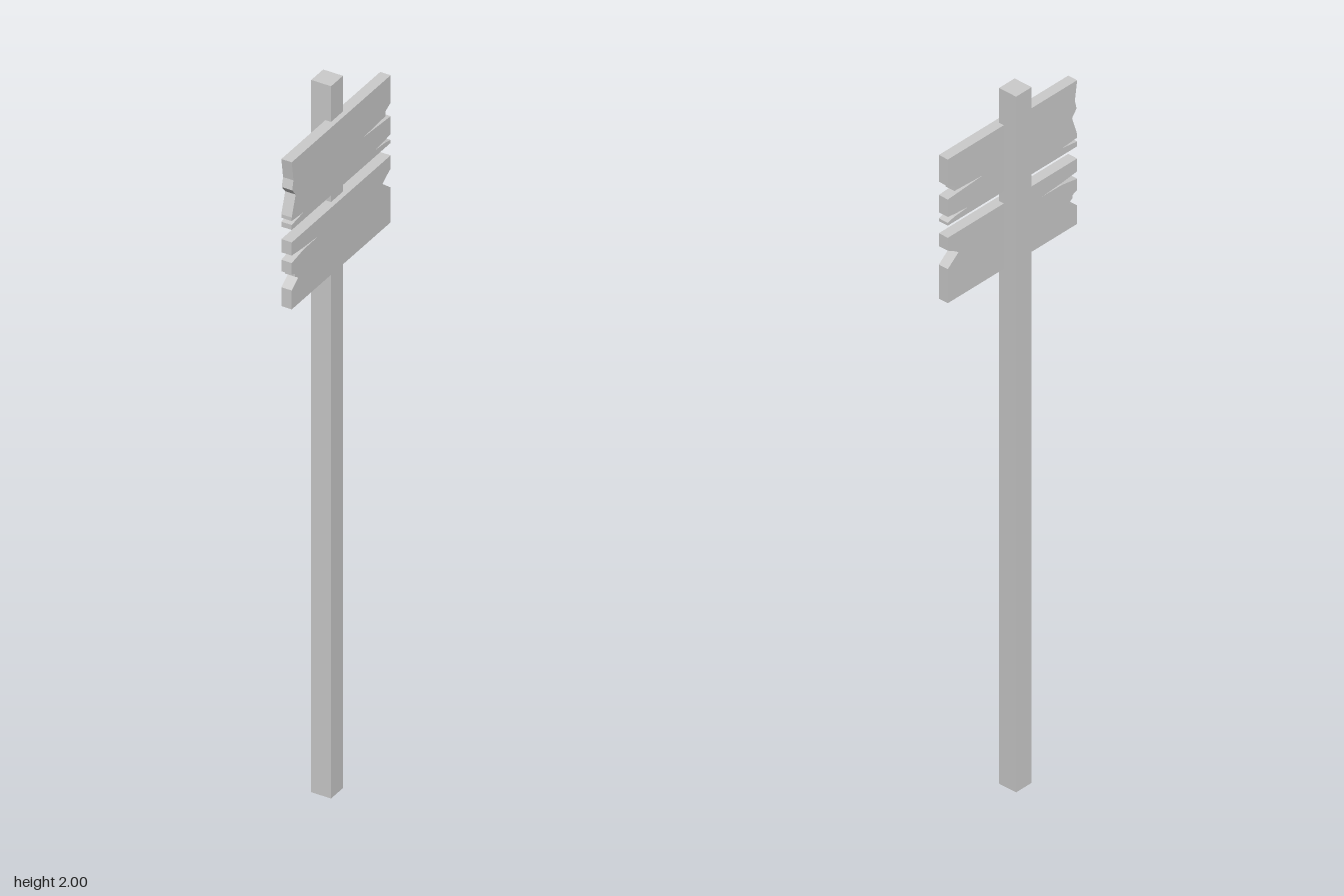
import * as THREE from 'three';

const material = new THREE.MeshStandardMaterial({ color: 0xcccccc, flatShading: true });

// Board cut from a side outline of [-z, y] points, extruded along x
function makeBoard(name, outline) {
  const shape = new THREE.Shape(outline.map(([s, y]) => new THREE.Vector2(s, y)));
  const geometry = new THREE.ExtrudeGeometry(shape, { depth: 0.029, bevelEnabled: false });
  geometry.rotateY(Math.PI / 2);
  geometry.translate(0.005, 0, 0);
  const mesh = new THREE.Mesh(geometry, material);
  mesh.name = name;
  return mesh;
}

export function createModel() {
  const group = new THREE.Group();
  group.name = 'signpost';

  // Square post
  const post = new THREE.Mesh(new THREE.BoxGeometry(0.055, 2, 0.055), material);
  post.name = 'post';
  post.position.set(-0.007, 1, -0.003);
  group.add(post);

  // Upper board: chipped front end, cracks at both ends
  group.add(makeBoard('upperBoard', [
    [-0.228, 1.71], [0.228, 1.71], [0.228, 1.718], [0.205, 1.724],
    [0.157, 1.728], [0.205, 1.732], [0.228, 1.735],
    [0.228, 1.785], [0.103, 1.793], [0.205, 1.798], [0.205, 1.812],
    [0.228, 1.823], [0.228, 1.9],
    [-0.228, 1.9], [-0.22, 1.845], [-0.226, 1.82], [-0.21, 1.8],
    [-0.228, 1.745], [-0.228, 1.735], [-0.174, 1.731], [-0.228, 1.724],
  ]));

  // Lower board: long crack and notch at the front end, notch at the back end
  group.add(makeBoard('lowerBoard', [
    [-0.228, 1.487], [0.228, 1.487], [0.228, 1.585], [0.19, 1.615],
    [0.205, 1.625], [0.228, 1.638], [0.228, 1.675],
    [-0.228, 1.675], [-0.228, 1.638], [-0.174, 1.632], [-0.103, 1.627],
    [-0.174, 1.626], [-0.228, 1.617], [-0.228, 1.585], [-0.212, 1.578],
    [-0.212, 1.57], [-0.198, 1.56], [-0.228, 1.54],
  ]));

  return group;
}
